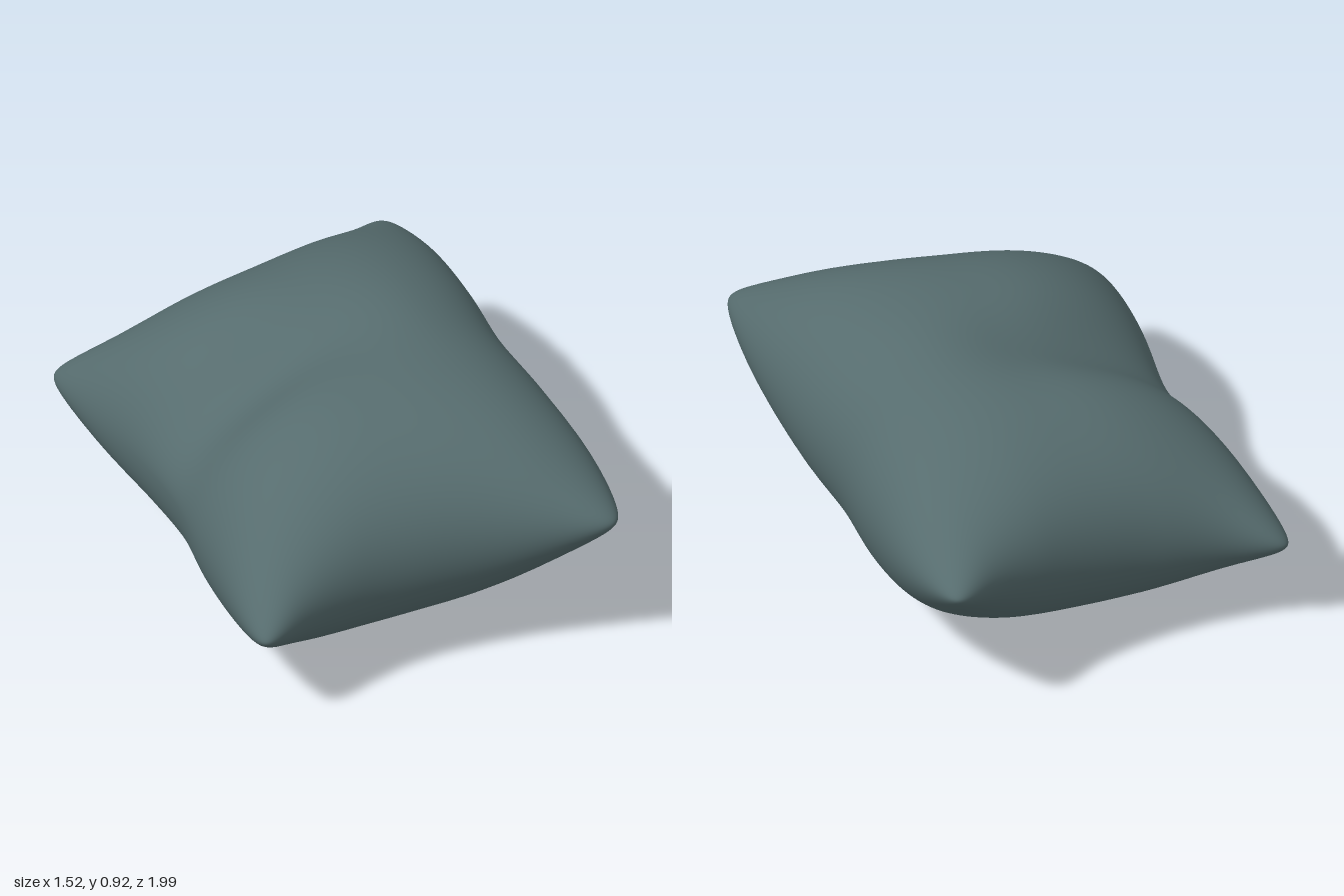
import * as THREE from 'three';
import { mergeVertices } from 'three/addons/utils/BufferGeometryUtils.js';

const N = 64; // grid cells along each side of the cushion

const seam = (points) =>
  new THREE.CatmullRomCurve3(points.map((p) => new THREE.Vector3(...p)), false, 'catmullrom', 0.5);

// Four seam edges, running towards +x or +z
const front = seam([[-0.785, 0.37, 0.845], [-0.55, 0.41, 0.76], [-0.32, 0.45, 0.74], [-0.1, 0.48, 0.77],
  [0.11, 0.51, 0.83], [0.33, 0.55, 0.93], [0.555, 0.59, 1.06]]);
const back = seam([[-0.62, 0.365, -1.055], [-0.39, 0.41, -0.935], [-0.15, 0.45, -0.89], [0.07, 0.48, -0.88],
  [0.29, 0.51, -0.895], [0.52, 0.54, -0.94], [0.75, 0.575, -1.055]]);
const right = seam([[-0.62, 0.365, -1.055], [-0.615, 0.385, -0.7], [-0.6, 0.4, -0.38], [-0.612, 0.4, -0.09],
  [-0.68, 0.405, 0.2], [-0.74, 0.4, 0.52], [-0.785, 0.37, 0.845]]);
const left = seam([[0.75, 0.575, -1.055], [0.76, 0.54, -0.68], [0.725, 0.52, -0.33], [0.67, 0.52, 0],
  [0.655, 0.53, 0.33], [0.625, 0.56, 0.69], [0.555, 0.59, 1.06]]);

// Middle sheet blended from the four seam edges, s and t in 0..1
function sheet(s, t) {
  const p = new THREE.Vector3();
  const add = (v, w) => p.addScaledVector(v, w);
  add(right.getPoint(t), 1 - s);
  add(left.getPoint(t), s);
  add(back.getPoint(s), 1 - t);
  add(front.getPoint(s), t);
  add(back.getPoint(0), -(1 - s) * (1 - t));
  add(back.getPoint(1), -s * (1 - t));
  add(front.getPoint(0), -(1 - s) * t);
  add(front.getPoint(1), -s * t);
  return p;
}

// Half thickness of the stuffing, u and v in -1..1; zero on the seam, pinched at the corners
function puff(u, v) {
  const across = Math.sqrt(Math.max(0, 1 - Math.abs(u) ** 2.5));
  const along = Math.sqrt(Math.max(0, 1 - Math.abs(v) ** 2.9));
  return 0.457 * across * along * (1 - 0.5 * Math.abs(u * v) ** 3);
}

// Broad soft fold pressed into the top, running in from the right edge
function fold(u, v) {
  const fade = 1 - THREE.MathUtils.smoothstep(u, -0.95, 0.5);
  return 1 - 0.36 * fade * Math.exp(-(((v + 0.07) / 0.32) ** 2));
}

function cushionGeometry() {
  const positions = [];
  const indices = [];
  const row = N + 1;
  for (const side of [1, -1]) {
    const start = positions.length / 3;
    for (let j = 0; j <= N; j++) {
      for (let i = 0; i <= N; i++) {
        // Sine spacing packs the rows closer near the seam
        const u = Math.sin((i / N - 0.5) * Math.PI);
        const v = Math.sin((j / N - 0.5) * Math.PI);
        // Corners are drawn in a little so they come out blunt
        const blunt = 1 - 0.05 * Math.abs(u * v) ** 10;
        const p = sheet((u * blunt + 1) / 2, (v * blunt + 1) / 2);
        p.y += side * puff(u, v) * (side > 0 ? fold(u, v) : 1);
        positions.push(p.x, p.y, p.z);
      }
    }
    for (let j = 0; j < N; j++) {
      for (let i = 0; i < N; i++) {
        const a = start + j * row + i;
        const b = a + row;
        if (side > 0) indices.push(a, b, a + 1, a + 1, b, b + 1);
        else indices.push(a, a + 1, b, a + 1, b + 1, b);
      }
    }
  }
  let geometry = new THREE.BufferGeometry();
  geometry.setAttribute('position', new THREE.Float32BufferAttribute(positions, 3));
  geometry.setIndex(indices);
  geometry = mergeVertices(geometry, 1e-5); // joins top and bottom along the seam
  geometry.computeVertexNormals();
  geometry.computeBoundingBox();
  geometry.translate(0, -geometry.boundingBox.min.y, 0);
  return geometry;
}

export function createModel() {
  const group = new THREE.Group();
  group.name = 'cushion';
  const cover = new THREE.Mesh(cushionGeometry(), new THREE.MeshStandardMaterial({ color: 0x566c6e }));
  cover.name = 'cushionCover';
  group.add(cover);
  return group;
}
